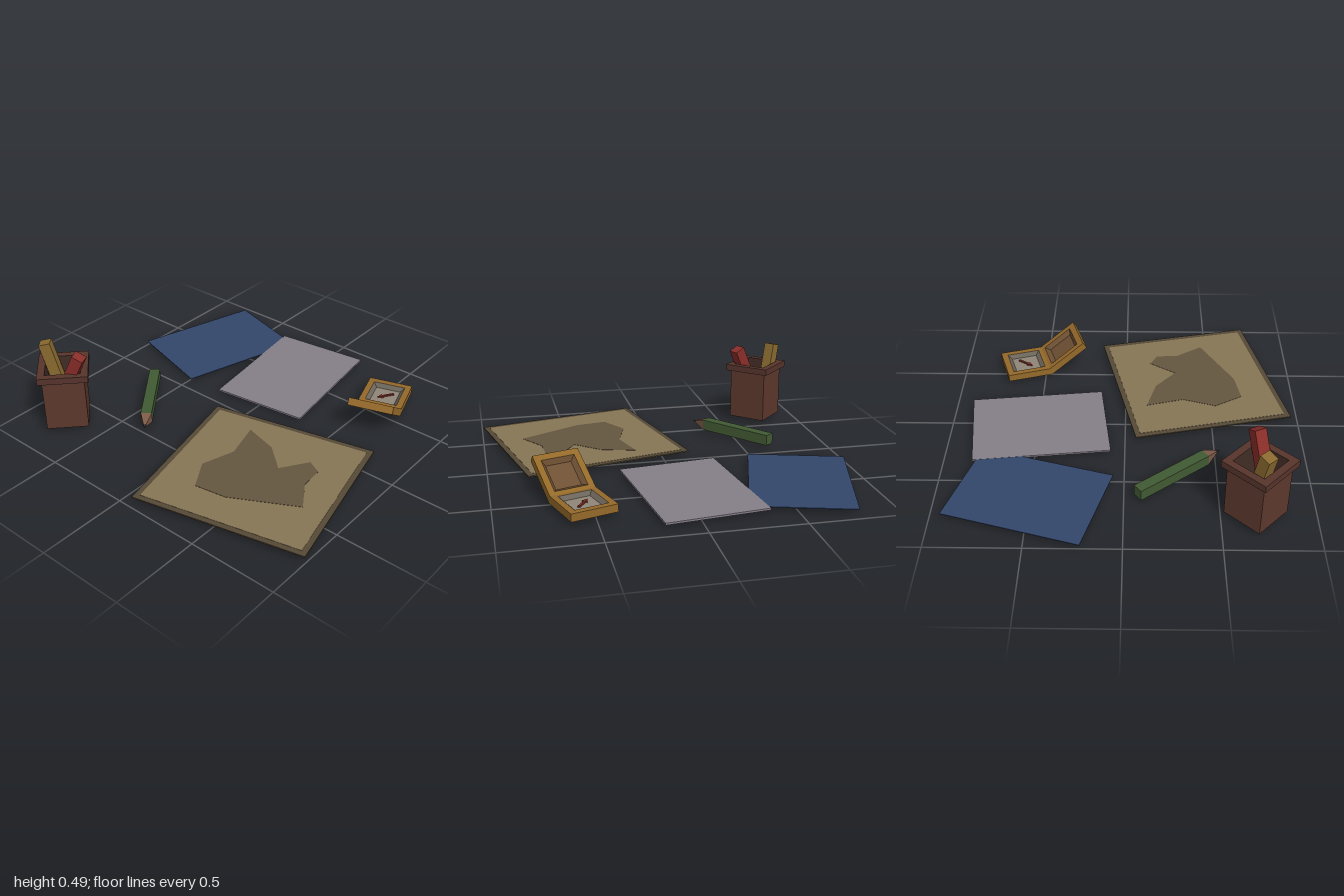
import * as THREE from 'three';

const mat = (color) => new THREE.MeshStandardMaterial({ color, flatShading: true });

function add(parent, name, geometry, color, x = 0, y = 0, z = 0) {
  const mesh = new THREE.Mesh(geometry, mat(color));
  mesh.name = name;
  mesh.position.set(x, y, z);
  parent.add(mesh);
  return mesh;
}

function group(parent, name, x, y, z, turn) {
  const g = new THREE.Group();
  g.name = name;
  g.position.set(x, y, z);
  g.rotation.y = turn;
  parent.add(g);
  return g;
}

// Square profile of [half width, height] pairs swept round four sides
function squareLathe(profile) {
  const pts = profile.map(([r, y]) => new THREE.Vector2(r * Math.SQRT2, y));
  return new THREE.LatheGeometry(pts, 4, Math.PI / 4);
}

// Flat outline given as [x, z] pairs, raised upward from y = 0
function flatShape(points, height) {
  const shape = new THREE.Shape(points.map(([x, z]) => new THREE.Vector2(x, -z)));
  return new THREE.ExtrudeGeometry(shape, { depth: height, bevelEnabled: false }).rotateX(-Math.PI / 2);
}

// Square stick whose top centre and bottom centre are given
function stick(parent, name, bottom, top, width, twist, color) {
  const a = new THREE.Vector3(...bottom), b = new THREE.Vector3(...top);
  const dir = b.clone().sub(a);
  const mesh = add(parent, name, new THREE.BoxGeometry(width, dir.length(), width), color);
  mesh.position.copy(a).add(b).multiplyScalar(0.5);
  mesh.quaternion.setFromUnitVectors(new THREE.Vector3(0, 1, 0), dir.normalize());
  mesh.rotateY(twist);
}

// Half of the compass case: frame, sloping recess and floor
function tray(parent, name, w, d, h, floorY, wallColor, floorColor) {
  const g = group(parent, name, 0, 0, 0, 0);
  const parts = [
    ['Frame', [[0, 0], [0.5, 0], [0.5, h], [0.365, h]], 0x94692a],
    ['RecessWall', [[0.365, h], [0.28, floorY]], wallColor],
    ['Floor', [[0.28, floorY], [0, floorY]], floorColor],
  ];
  for (const [part, profile, color] of parts) {
    add(g, name + part, squareLathe(profile).scale(w, 1, d), color);
  }
  return g;
}

export function createModel() {
  const model = new THREE.Group();
  model.name = 'deskItems';

  // Map sheet with dark border and land mass
  const map = group(model, 'map', -0.405, 0, 0.418, 0.224);
  add(map, 'mapBorder', new THREE.BoxGeometry(0.923, 0.007, 0.964), 0x554a36, 0, 0.0255, 0);
  add(map, 'mapPanel', new THREE.BoxGeometry(0.862, 0.004, 0.903), 0x877555, 0, 0.0285, 0);
  const land = [
    [-0.69, 0.24], [-0.53, 0.145], [-0.34, 0.205], [-0.125, 0.145], [-0.18, 0.34], [-0.3, 0.48],
    [-0.15, 0.58], [-0.19, 0.66], [-0.32, 0.67], [-0.47, 0.77], [-0.66, 0.42],
  ];
  add(model, 'mapLand', flatShape(land, 0.032), 0x645640);

  // Loose paper sheets
  add(model, 'blueSheet', new THREE.BoxGeometry(0.761, 0.005, 0.547), 0x32466a, 0.502, 0.0235, -0.63)
    .rotation.y = -0.287;
  add(model, 'greySheet', new THREE.BoxGeometry(0.766, 0.011, 0.556), 0x857e88, 0.492, 0.0215, -0.037)
    .rotation.y = 0.122;

  // Square pot with overhanging rim
  const pot = group(model, 'pot', -0.68, 0, -0.747, -0.76);
  add(pot, 'potBody', squareLathe([[0, 0.025], [0.116, 0.025], [0.116, 0.335]]), 0x5c382d);
  add(pot, 'potRim', squareLathe([[0.112, 0.33], [0.139, 0.33], [0.139, 0.368], [0.098, 0.368]]), 0x56342b);
  add(pot, 'potInside', squareLathe([[0.098, 0.368], [0.098, 0.1], [0, 0.1]]), 0x422c25);

  // Sticks leaning in the pot
  stick(model, 'redStick', [-0.735, 0.14, -0.755], [-0.668, 0.465, -0.615], 0.066, -1.12, 0x8a2e2a);
  stick(model, 'tanStick', [-0.65, 0.12, -0.79], [-0.7, 0.482, -0.858], 0.064, 0.7, 0x8a6a30);

  // Pencil, its length along local +x with the point at -x
  const pencil = group(model, 'pencil', -0.256, 0.058, -0.505, Math.atan2(0.29, 0.3675));
  add(pencil, 'pencilBody', new THREE.BoxGeometry(0.468, 0.062, 0.062), 0x415a33);
  const cone = (r0, r1, len) =>
    squareLathe([[r0, 0], [r1, len], [0, len]]).rotateZ(Math.PI / 2);
  add(pencil, 'pencilCone', cone(0.031, 0.008, 0.076), 0x7d5a48, -0.234);
  add(pencil, 'pencilPoint', cone(0.008, 0.001, 0.026), 0x3a3230, -0.31);

  // Compass case with open lid
  const W = 0.27, D = 0.256, H = 0.043;
  const compass = group(model, 'compass', 0.626, 0.024, 0.55, 0.305);
  tray(compass, 'compassBase', W, D, H, 0.022, 0x6b6459, 0x8f8678);
  const hinge = group(compass, 'compassLidHinge', -W / 2, 0, 0, 0);
  hinge.rotation.z = -0.6;
  tray(hinge, 'compassLid', W + 0.005, D, H, 0.018, 0x6e5033, 0x6e5034).position.x = -W / 2;

  // Needle with arrow head
  const needle = [
    [-0.05, -0.006], [0.02, -0.006], [0.02, -0.015], [0.052, 0], [0.02, 0.015], [0.02, 0.006], [-0.05, 0.006],
  ];
  add(compass, 'compassNeedle', flatShape(needle, 0.008), 0x7a2a22, 0.004, 0.022, 0.004)
    .rotation.y = 2.256;

  return model;
}
